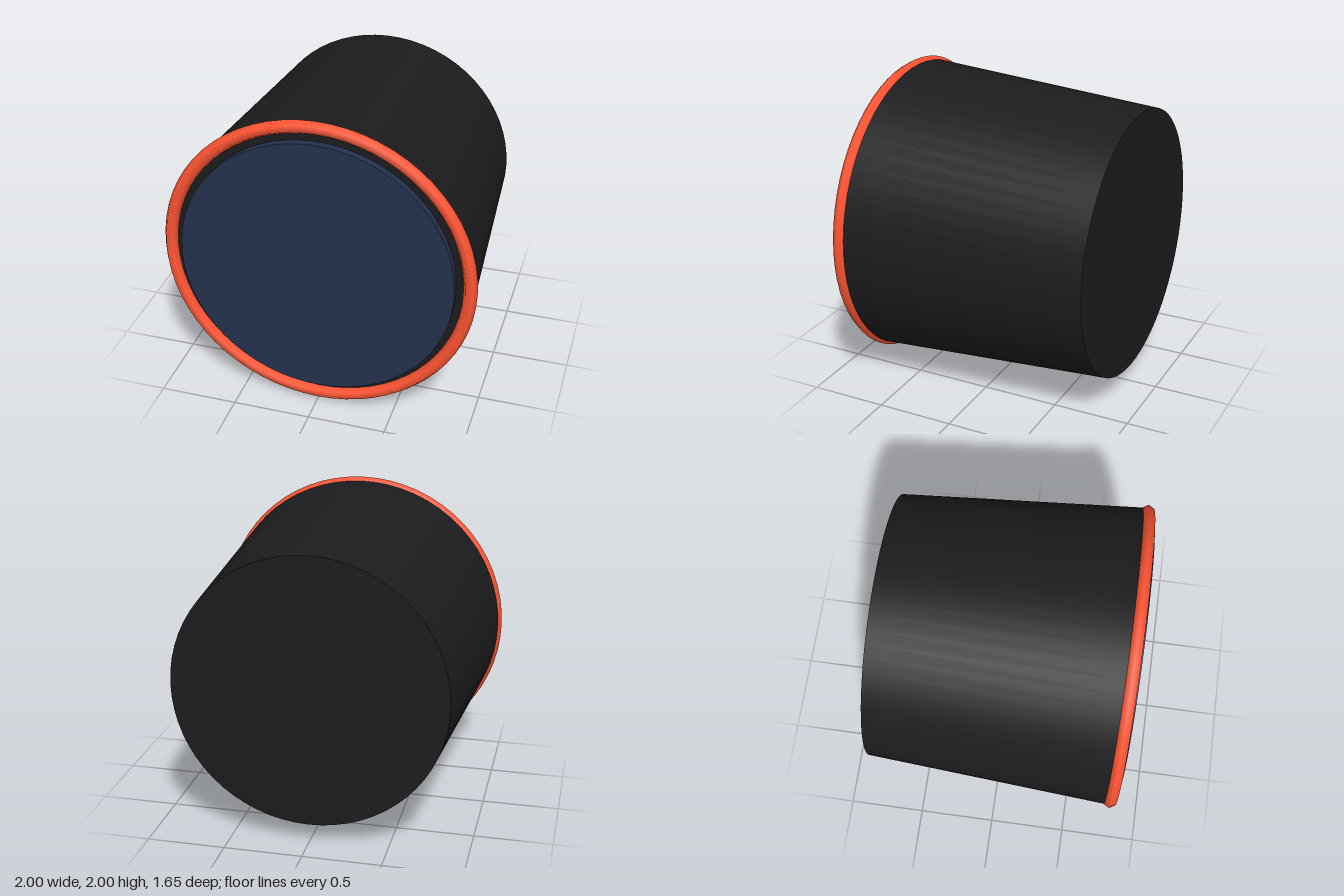
import * as THREE from 'three';

const SIDES = 64;

function addPart(group, name, geometry, color, z) {
  const mesh = new THREE.Mesh(geometry, new THREE.MeshStandardMaterial({ color }));
  mesh.name = name;
  mesh.position.set(0, 1, z);
  group.add(mesh);
}

// Cylinder lying along z, its first radius at the front
function barrel(frontRadius, backRadius, length) {
  return new THREE.CylinderGeometry(frontRadius, backRadius, length, SIDES).rotateX(Math.PI / 2);
}

export function createModel() {
  const group = new THREE.Group();
  group.name = 'taperedDrum';

  // Tapered body, wider at the front
  addPart(group, 'body', barrel(0.98, 0.87, 1.6), 0x1c1c1e, -0.025);

  // Coloured rim around the front edge
  addPart(group, 'rim', new THREE.TorusGeometry(0.957, 0.043, 6, SIDES), 0xff5533, 0.775);

  // Raised disc on the front face
  addPart(group, 'frontDisc', barrel(0.87, 0.87, 0.1), 0x24304c, 0.775);

  return group;
}
